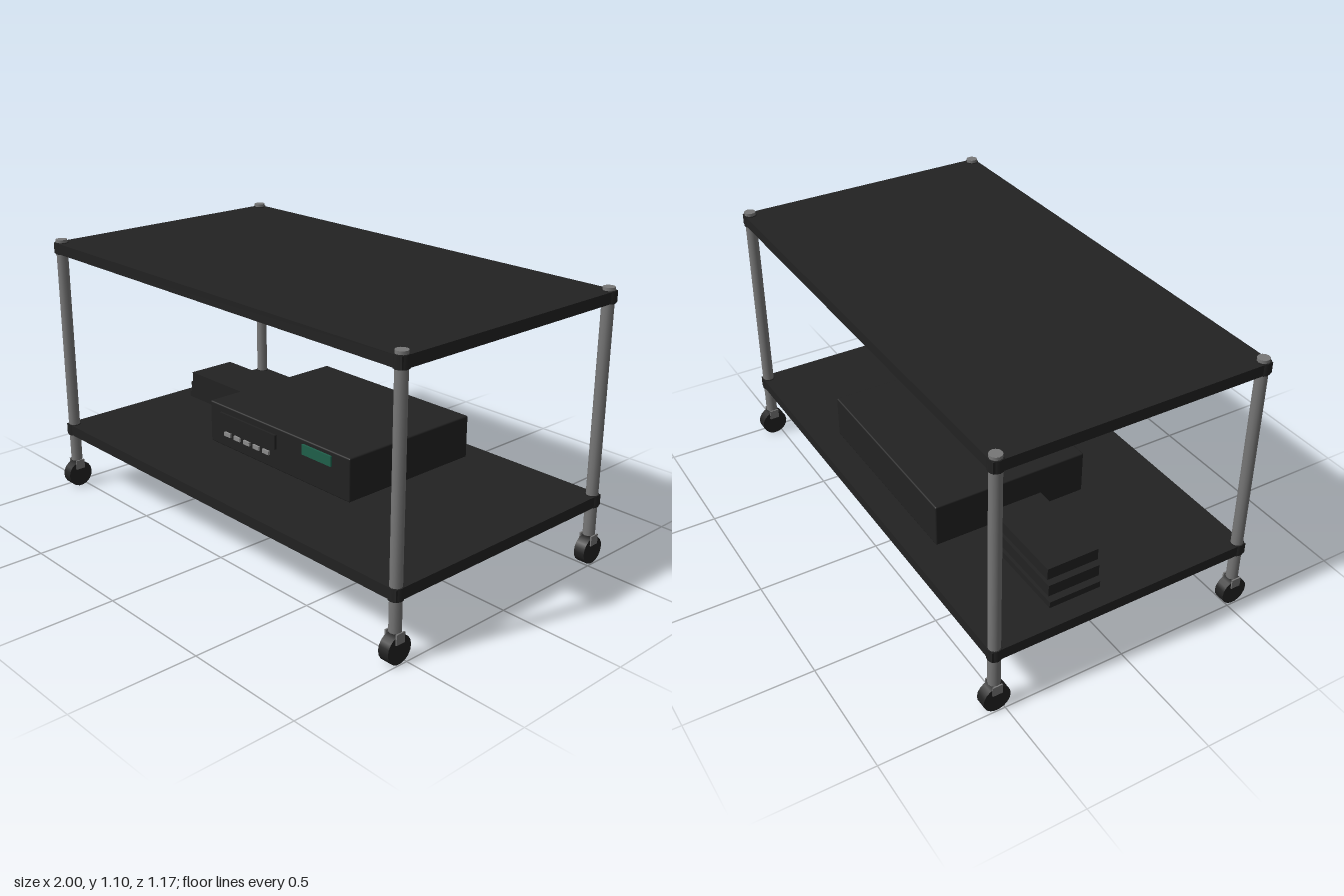
import * as THREE from 'three';
import { RoundedBoxGeometry } from 'three/addons/geometries/RoundedBoxGeometry.js';

const mat = (name, color) => {
  const m = new THREE.MeshStandardMaterial({ color });
  m.name = name;
  return m;
};

export function createModel() {
  const black = mat('black', 0x222222);
  const steel = mat('steel grey', 0x777777);
  const silver = mat('button silver', 0x8c8c8c);
  const green = mat('display green', 0x1f5f4a);

  const model = new THREE.Group();
  model.name = 'mediaTrolley';

  const add = (parent, name, geometry, material, x, y, z) => {
    const mesh = new THREE.Mesh(geometry, material);
    mesh.name = name;
    mesh.position.set(x, y, z);
    parent.add(mesh);
    return mesh;
  };
  // Box given by its minimum and maximum corners
  const box = (parent, name, material, a, b, radius = 0) => {
    const s = b.map((v, i) => v - a[i]);
    const g = radius ? new RoundedBoxGeometry(...s, 2, radius) : new THREE.BoxGeometry(...s);
    return add(parent, name, g, material, ...a.map((v, i) => (v + b[i]) / 2));
  };

  // Shelves
  const shelfHeights = { lowerShelf: 0.262, upperShelf: 1.062 };
  for (const [name, y] of Object.entries(shelfHeights)) {
    box(model, name, black, [-0.995, y - 0.022, -0.553], [0.995, y + 0.022, 0.553]);
  }

  // Corner posts with shelf collars and castors
  const postGeo = new THREE.CylinderGeometry(0.0235, 0.0235, 0.98, 12);
  const collarGeo = new THREE.CylinderGeometry(0.028, 0.028, 0.048, 12);
  const wheelGeo = new THREE.CylinderGeometry(0.055, 0.055, 0.046, 18).rotateZ(Math.PI / 2);
  const cheekGeo = new THREE.BoxGeometry(0.006, 0.04, 0.04);
  for (const sx of [-1, 1]) {
    for (const sz of [-1, 1]) {
      const corner = new THREE.Group();
      corner.name = 'cornerPost';
      corner.position.set(sx * 0.972, 0, sz * 0.53);
      model.add(corner);
      add(corner, 'post', postGeo, steel, 0, 0.608, 0);
      for (const y of Object.values(shelfHeights)) add(corner, 'collar', collarGeo, black, 0, y, 0);
      add(corner, 'wheel', wheelGeo, black, 0, 0.055, 0);
      for (const side of [-1, 1]) add(corner, 'castorCheek', cheekGeo, steel, side * 0.025, 0.1, 0);
    }
  }

  // Video player
  const player = new THREE.Group();
  player.name = 'videoPlayer';
  model.add(player);
  box(player, 'playerCase', black, [-0.418, 0.287, -0.445], [0.416, 0.465, 0.21], 0.006);
  box(player, 'cassetteFlap', black, [-0.345, 0.375, 0.205], [0.0, 0.435, 0.219]);
  box(player, 'display', green, [0.157, 0.405, 0.209], [0.32, 0.447, 0.2185]);
  for (let i = 0; i < 5; i++) {
    const x = -0.302 + i * 0.0605;
    box(player, 'button', silver, [x - 0.019, 0.338, 0.209], [x + 0.019, 0.355, 0.2185]);
  }

  // Staggered stack of cassettes
  for (let i = 0; i < 3; i++) {
    const x = -0.91 + i * 0.0245, y = 0.262 + i * 0.053, z = -0.265 + i * 0.01;
    box(model, 'cassette', black, [x, y, z], [x + 0.376, y + 0.048, z + 0.215]);
  }

  return model;
}
